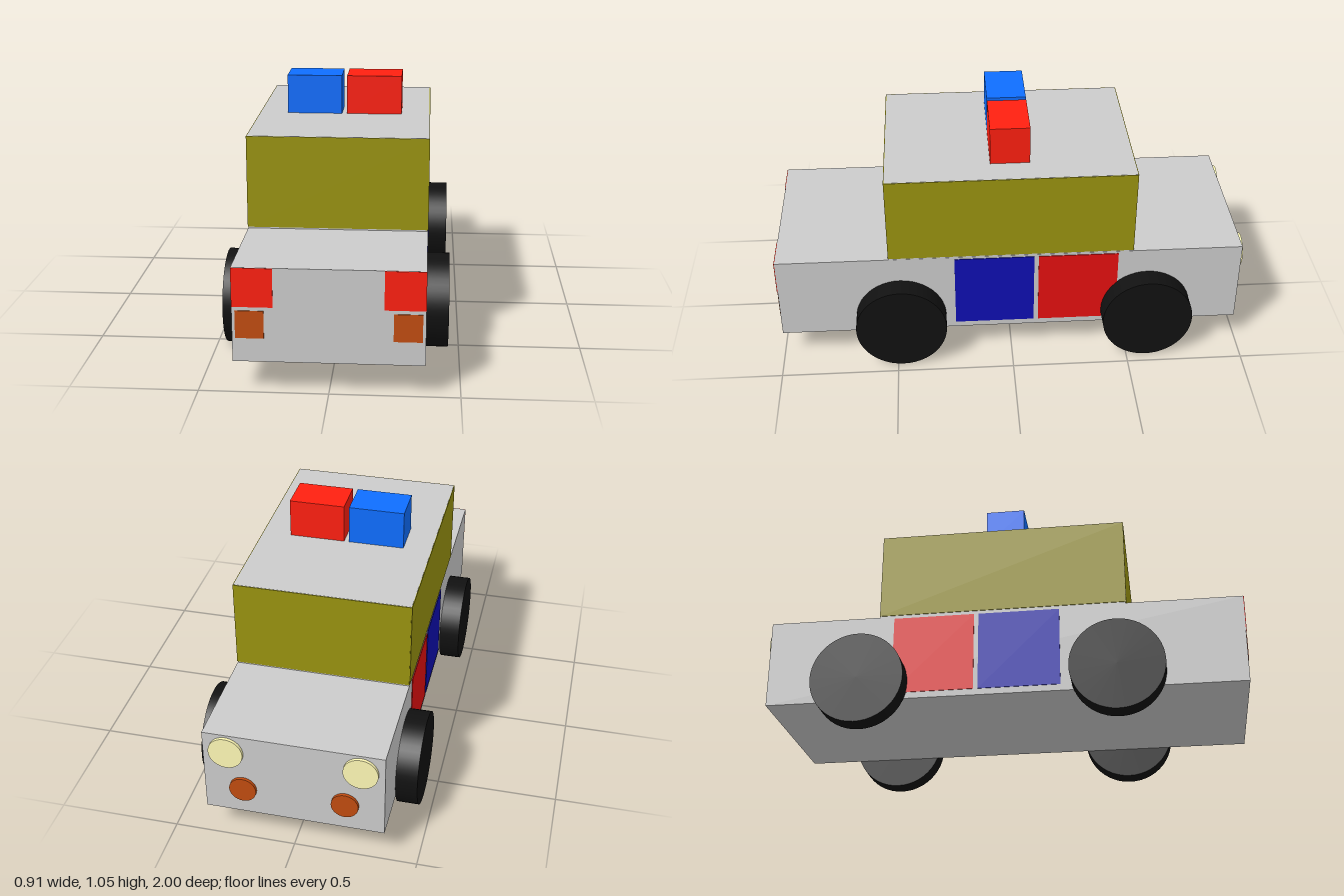
import * as THREE from 'three';

const mat = (color) => new THREE.MeshStandardMaterial({ color });

export function createModel() {
  const car = new THREE.Group();
  car.name = 'car';
  const grey = mat(0xcccccc), olive = mat(0x999310), black = mat(0x111111);
  const red = mat(0xfe1f10), blue = mat(0x0e6eff), orange = mat(0xc14c10);
  const doorRed = mat(0xe61010), doorBlue = mat(0x0e0eb2), cream = mat(0xfff9b6);

  // Box given by its lower and upper corners
  function box(name, material, [x0, y0, z0], [x1, y1, z1]) {
    const mesh = new THREE.Mesh(new THREE.BoxGeometry(x1 - x0, y1 - y0, z1 - z0), material);
    mesh.position.set((x0 + x1) / 2, (y0 + y1) / 2, (z0 + z1) / 2);
    mesh.name = name;
    car.add(mesh);
  }

  // Cylinder lying along x or z
  function disc(name, material, radius, depth, axis, x, y, z) {
    const geometry = new THREE.CylinderGeometry(radius, radius, depth, 48);
    if (axis === 'x') geometry.rotateZ(Math.PI / 2);
    else geometry.rotateX(Math.PI / 2);
    const mesh = new THREE.Mesh(geometry, material);
    mesh.position.set(x, y, z);
    mesh.name = name;
    car.add(mesh);
  }

  // Body and cabin
  box('body', grey, [-0.365, 0.125, -0.987], [0.365, 0.5, 0.997]);
  box('cabin', grey, [-0.364, 0.5, -0.516], [0.364, 0.885, 0.519]);

  // Windows around the cabin
  box('frontWindow', olive, [-0.364, 0.506, 0.519], [0.364, 0.884, 0.522]);
  box('rearWindow', olive, [-0.364, 0.506, -0.519], [0.364, 0.884, -0.516]);

  // Roof beacons
  box('blueBeacon', blue, [-0.246, 0.885, -0.083], [-0.012, 1.05, 0.083]);
  box('redBeacon', red, [0.01, 0.885, -0.083], [0.244, 1.05, 0.083]);

  for (const s of [-1, 1]) {
    const side = s > 0 ? 'left' : 'right';
    // Thin panel on the side at distance x, mirrored by s
    const panel = (name, material, x, y0, y1, z0, z1) => {
      const a = s * x, b = s * (x + 0.003);
      box(name, material, [Math.min(a, b), y0, z0], [Math.max(a, b), y1, z1]);
    };
    panel(side + 'Window', olive, 0.364, 0.506, 0.884, -0.517, 0.521);
    panel(side + 'FrontDoor', doorBlue, 0.365, 0.152, 0.49, -0.096, 0.243);
    panel(side + 'RearDoor', doorRed, 0.365, 0.152, 0.49, -0.455, -0.115);

    // Wheels
    disc(side + 'FrontWheel', black, 0.194, 0.09, 'x', s * 0.41, 0.194, 0.478);
    disc(side + 'RearWheel', black, 0.194, 0.09, 'x', s * 0.41, 0.194, -0.584);

    // Square lamps at the front
    const lamp = (name, material, x0, x1, y0, y1) => {
      const a = s * x0, b = s * x1;
      box(name, material, [Math.min(a, b), y0, 0.997], [Math.max(a, b), y1, 1.0]);
    };
    lamp(side + 'FrontLamp', red, 0.209, 0.365, 0.345, 0.499);
    lamp(side + 'FrontIndicator', orange, 0.244, 0.353, 0.22, 0.33);

    // Round lamps at the back
    disc(side + 'RearLamp', cream, 0.07, 0.014, 'z', s * 0.27, 0.42, -0.993);
    disc(side + 'RearIndicator', orange, 0.055, 0.014, 'z', s * 0.207, 0.245, -0.993);
  }
  return car;
}
